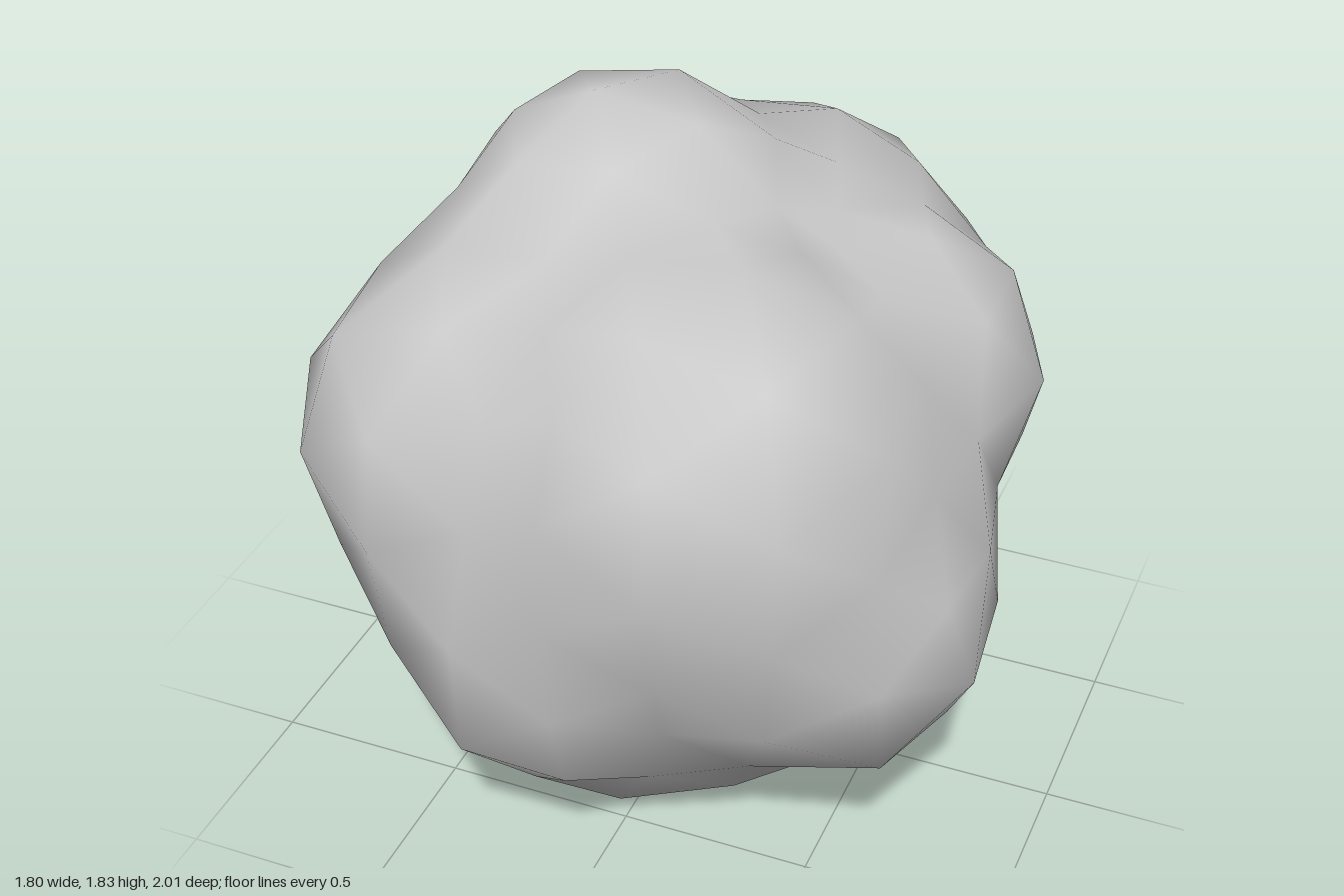
import * as THREE from 'three';
import { mergeVertices } from 'three/addons/utils/BufferGeometryUtils.js';

// Rounded lumps that blend into one boulder: x, y, z, radius
const LUMPS = [
  [0, 0.95, 0, 0.6],            // core
  [0.25, 1.22, 0.49, 0.5],      // upper front
  [0.15, 1.1, 0.56, 0.45],      // front face
  [0.05, 1.07, -0.5, 0.515],    // back
  [-0.17, 1.05, -0.45, 0.45],   // back shoulder, -x side
  [0.25, 1.07, -0.35, 0.43],    // back shoulder, +x side
  [-0.2, 1.37, -0.06, 0.47],    // peak
  [-0.4, 1.07, 0.38, 0.48],     // front, -x side
  [-0.33, 1.1, 0, 0.43],        // flank, -x side
  [-0.45, 0.61, -0.2, 0.465],   // low back, -x side
  [0.45, 1.14, -0.12, 0.41],    // +x side
  [0.46, 0.76, 0.35, 0.45],     // low front, +x side
  [-0.15, 0.66, 0.53, 0.43],    // low front
  [0.06, 0.35, 0.2, 0.36],      // foot
  [0.02, 0.37, 0.32, 0.345],    // front of foot
  [0.27, 0.53, -0.26, 0.395],   // low back, +x side
];
const CENTRE = new THREE.Vector3(0, 0.95, 0);
const BLEND = 0.035;

// Signed distance to the blended lumps
function distance(p) {
  let sum = 0;
  for (const [x, y, z, r] of LUMPS) {
    sum += Math.exp((r - Math.hypot(p.x - x, p.y - y, p.z - z)) / BLEND);
  }
  return -BLEND * Math.log(sum);
}

// Surface point along a direction, searched from outside inwards
function surfacePoint(dir) {
  const p = new THREE.Vector3();
  let r = 1.5;
  for (let i = 0; i < 80; i++) {
    p.copy(CENTRE).addScaledVector(dir, r);
    r -= distance(p) * 0.8;
  }
  return p.copy(CENTRE).addScaledVector(dir, r);
}

export function createModel() {
  const group = new THREE.Group();
  group.name = 'boulder';

  // Shared vertices give smooth shading over a coarse sphere
  let geometry = new THREE.IcosahedronGeometry(1, 3);
  geometry.deleteAttribute('uv');
  geometry.deleteAttribute('normal');
  geometry = mergeVertices(geometry, 1e-3);

  const pos = geometry.attributes.position;
  const dir = new THREE.Vector3();
  for (let i = 0; i < pos.count; i++) {
    dir.fromBufferAttribute(pos, i).normalize();
    const p = surfacePoint(dir);
    pos.setXYZ(i, p.x, p.y, p.z);
  }

  // Rest on the ground
  geometry.computeBoundingBox();
  geometry.translate(0, -geometry.boundingBox.min.y, 0);
  geometry.computeVertexNormals();

  const rock = new THREE.Mesh(geometry, new THREE.MeshStandardMaterial({ color: 0xcccccc }));
  rock.name = 'rock';
  group.add(rock);
  return group;
}
